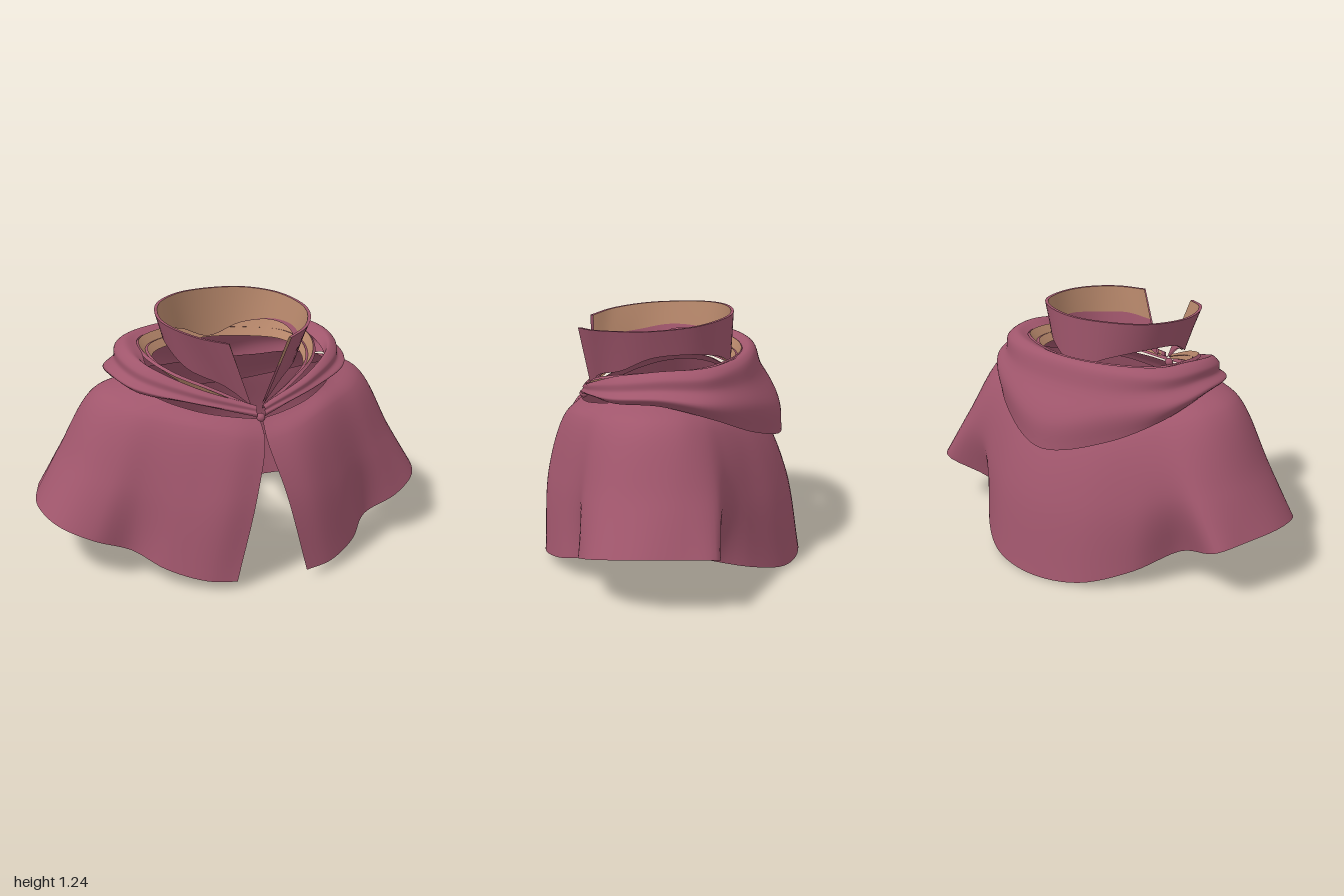
import * as THREE from 'three';

const V = (p) => new THREE.Vector3(...p);

// Mirrors a half ring (front edge -> side -> centre back) into a full ring open at the front
function fullRing(half) {
  const left = half.map(V);
  const right = left.slice(0, -1).reverse().map((p) => new THREE.Vector3(-p.x, p.y, p.z));
  return new THREE.CatmullRomCurve3([...left, ...right]);
}

// Smooth cloth surface through a stack of rings; vEnd(u) trims its lower edge, pad its front edges
function loft(halves, nu, nv, vEnd = () => 1, pad = 0) {
  const rings = halves.map(fullRing);
  const pos = [], index = [];
  for (let i = 0; i <= nu; i++) {
    const u = pad + (i / nu) * (1 - 2 * pad);
    const column = new THREE.CatmullRomCurve3(rings.map((r) => r.getPoint(u)));
    for (let j = 0; j <= nv; j++) {
      const p = column.getPoint((j / nv) * vEnd(u));
      pos.push(p.x, p.y, p.z);
      if (i < nu && j < nv) {
        const a = i * (nv + 1) + j, b = a + nv + 1;
        index.push(a, a + 1, b, b, a + 1, b + 1);
      }
    }
  }
  const g = new THREE.BufferGeometry();
  g.setAttribute('position', new THREE.Float32BufferAttribute(pos, 3));
  g.setIndex(index);
  g.computeVertexNormals();
  return g;
}

// Cape rings, from neckline to the pleated hem
const capeNeck = [
  [.006, .79, .47], [.12, .805, .45], [.26, .825, .395], [.4, .86, .3], [.47, .885, .205],
  [.5, .9, .12], [.505, .905, .02], [.48, .9, -.08], [.42, .89, -.16], [.36, .875, -.22],
  [.27, .86, -.26], [.15, .85, -.3], [0, .84, -.31]];
const capeShoulder = [
  [.006, .7, .54], [.15, .73, .53], [.3, .77, .46], [.46, .79, .355], [.58, .81, .265],
  [.66, .83, .15], [.69, .84, .02], [.66, .83, -.12], [.585, .8, -.22], [.49, .76, -.29],
  [.36, .72, -.36], [.2, .68, -.43], [0, .67, -.46]];
const capeMiddle = [
  [.075, .45, .62], [.22, .45, .605], [.38, .46, .515], [.56, .48, .385], [.7, .5, .32],
  [.82, .52, .2], [.865, .53, .03], [.84, .53, -.15], [.75, .51, -.3], [.61, .47, -.335],
  [.46, .43, -.42], [.25, .4, -.53], [0, .4, -.575]];
const capeHem = [
  [.18, .04, .64], [.32, .05, .605], [.49, .09, .495], [.62, .15, .355], [.8, .22, .34],
  [.945, .275, .24], [1, .305, .04], [.955, .3, -.18], [.885, .28, -.33], [.62, .17, -.25],
  [.48, .09, -.435], [.27, .02, -.59], [0, 0, -.645]];

// Cowl rings, from the inner ledge over the rolled rim to the drooping hood point
const cowlInside = [[.015, .83, .445], [.28, .89, .345], [.445, .97, .19], [.445, 1.025, .01],
  [.41, 1.04, -.175], [.24, 1.045, -.29], [0, 1.045, -.338]];
const cowlRim = [[.015, .85, .45], [.28, .935, .345], [.465, 1.015, .19], [.515, 1.05, 0],
  [.455, 1.058, -.21], [.26, 1.06, -.33], [0, 1.058, -.37]];
const cowlUpperRoll = [[.02, .84, .465], [.3, .92, .365], [.505, .985, .2], [.56, 1.02, -.01],
  [.5, 1.025, -.23], [.29, 1.035, -.36], [0, 1.04, -.4]];
const cowlGroove = [[.02, .825, .465], [.31, .895, .36], [.51, .945, .2], [.566, .972, -.01],
  [.51, .965, -.23], [.3, .95, -.385], [0, .94, -.435]];
const cowlLowerRoll = [[.02, .815, .475], [.34, .88, .36], [.545, .92, .21], [.61, .94, -.02],
  [.568, .91, -.235], [.33, .85, -.43], [0, .78, -.53]];
const cowlBottom = [[.02, .8, .47], [.31, .865, .35], [.515, .89, .205], [.575, .9, -.02],
  [.52, .83, -.26], [.32, .72, -.43], [0, .64, -.545]];

// Inner fold lying between cowl and collar
const foldRim = [[.03, .85, .44], [.2, .93, .365], [.36, .99, .23], [.435, 1.03, .02],
  [.4, 1.045, -.17], [.235, 1.05, -.285], [0, 1.05, -.335]];
const foldBottom = [[.03, .83, .43], [.18, .88, .35], [.32, .93, .21], [.375, .96, .02],
  [.34, .97, -.14], [.19, .97, -.25], [0, .97, -.3]];

// Standing collar rings
const collarTop = [[.155, 1.17, .455], [.27, 1.185, .37], [.355, 1.2, .22], [.38, 1.21, .06],
  [.32, 1.225, -.14], [.18, 1.235, -.255], [0, 1.235, -.295]];
const collarBottom = [[.03, .84, .42], [.14, .93, .36], [.28, .99, .22], [.335, 1.07, .06],
  [.295, 1.085, -.12], [.165, 1.05, -.245], [0, .985, -.283]];

// Pulls a ring towards the neck axis
const inset = (ring, s, dy = 0, cz = .07) =>
  ring.map(([x, y, z]) => [x * s, y + dy, cz + (z - cz) * s]);

export function createModel() {
  const rose = new THREE.MeshStandardMaterial({ color: 0xa0566c, side: THREE.DoubleSide });
  rose.name = 'rose cloth';
  const tan = new THREE.MeshStandardMaterial({ color: 0xb48569, side: THREE.DoubleSide });
  tan.name = 'tan lining';

  const model = new THREE.Group();
  model.name = 'hoodedCapelet';
  const add = (name, geometry, material) => {
    const m = new THREE.Mesh(geometry, material);
    m.name = name;
    model.add(m);
    return m;
  };

  // Cape, and a shorter inner layer with rounded front corners
  add('cape', loft([capeNeck, capeShoulder, capeMiddle, capeHem], 144, 30), rose);
  const roundedCorner = (u) => {
    const k = Math.max(0, 1 - (Math.min(u, 1 - u) - .035) / .06);
    return .64 - .3 * (1 - Math.sqrt(1 - k * k));
  };
  const innerRings = [capeShoulder, capeMiddle, capeHem].map((r) => inset(r, .98, -.008, 0));
  add('capeInnerLayer', loft(innerRings, 120, 16, roundedCorner, .0351), rose);

  // Folded hood lying around the neck
  const cowl = [cowlInside, cowlRim, cowlUpperRoll, cowlGroove, cowlLowerRoll, cowlBottom];
  add('cowl', loft(cowl, 96, 30), rose);

  // Inner fold: lining broken by thin cloth ridges
  const foldMiddle = foldBottom.map((p, i) => p.map((c, k) => (c + foldRim[i][k]) / 2));
  add('innerFoldLining', loft([foldBottom, foldRim], 96, 4), tan);
  add('innerFoldEdge', loft([foldRim, inset(foldRim, 1.03, -.012)], 96, 1), rose);
  add('innerFoldRidge', loft([foldMiddle, inset(foldMiddle, .97, .004)], 96, 1), rose);

  // Standing collar: outer cloth, rim, and inside split between cloth and lining
  const innerTop = inset(collarTop, .96), innerBottom = inset(collarBottom, .96);
  const split = [.55, .5, .4, .2, .05, .01, .01];
  const innerSplit = innerBottom.map((p, i) => p.map((c, k) => c + (innerTop[i][k] - c) * split[i]));
  add('collar', loft([collarTop, collarBottom], 72, 4), rose);
  add('collarRim', loft([innerTop, collarTop], 72, 1), rose);
  add('collarInsideLower', loft([innerBottom, innerSplit], 72, 2), rose);
  add('collarLining', loft([innerSplit, innerTop], 72, 3), tan);

  // Small gathered knot closing the front
  const knot = add('frontKnot', new THREE.IcosahedronGeometry(.022, 1), rose);
  knot.position.set(0, .795, .465);
  return model;
}
